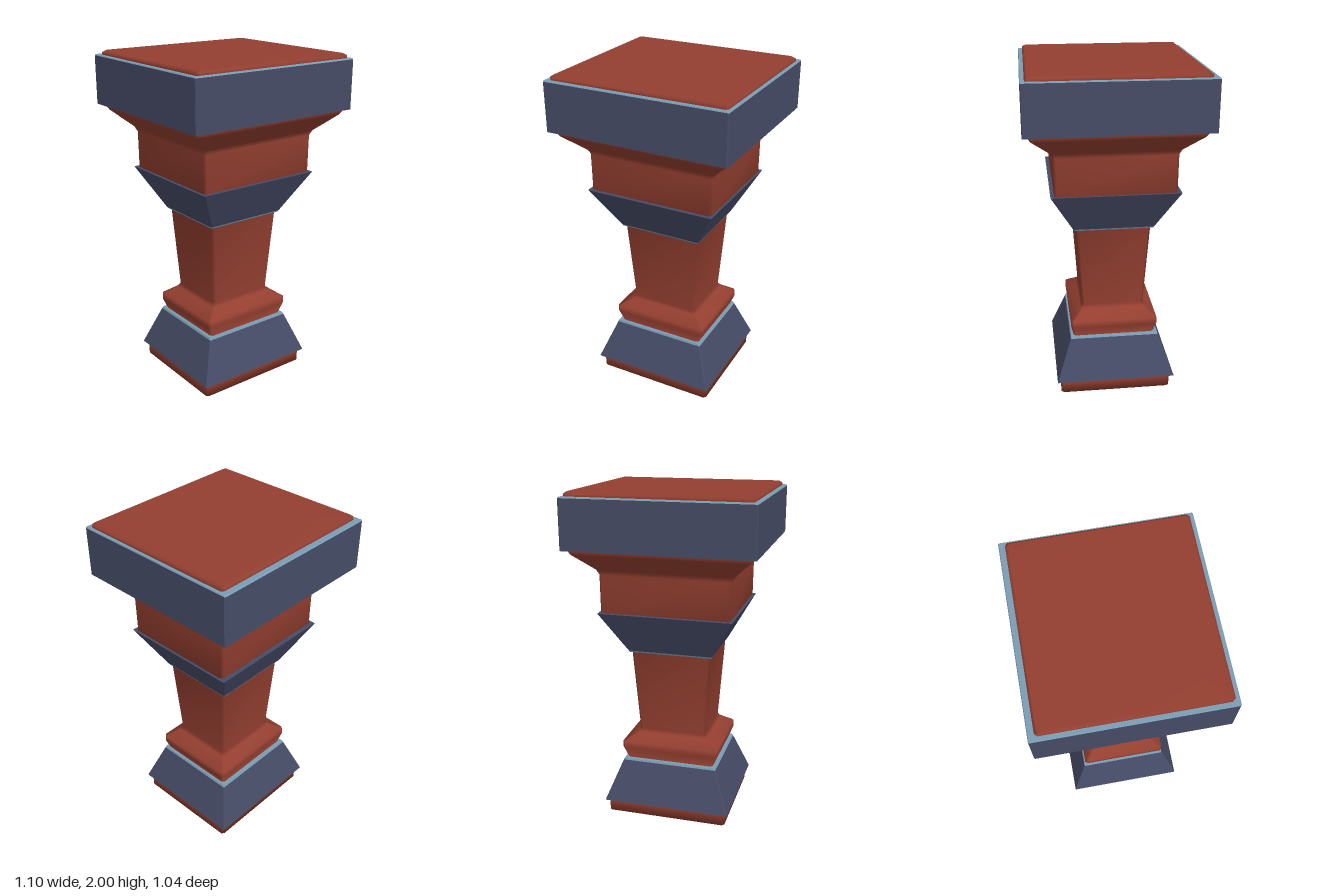
import * as THREE from 'three';

const red = new THREE.MeshStandardMaterial({ color: 0x943f30 });
red.name = 'brick red';
const slate = new THREE.MeshStandardMaterial({ color: 0x464c67 });
slate.name = 'slate blue';
const pale = new THREE.MeshStandardMaterial({ color: 0x7a9db4 });
pale.name = 'pale blue';

// Lofts chamfered rectangles [y, halfWidth, halfDepth] from bottom to top.
function loft(sections, chamfer, smooth, capBottom, capTop) {
  const pos = [], idx = [], n = 8;
  for (const [y, w, d] of sections) {
    const c = chamfer;
    const ring = [[w, c - d], [w, d - c], [w - c, d], [c - w, d],
      [-w, d - c], [-w, c - d], [c - w, -d], [w - c, -d]];
    for (const [x, z] of ring) pos.push(x, y, z);
  }
  for (let i = 0; i < sections.length - 1; i++) {
    for (let j = 0; j < n; j++) {
      const a = i * n + j, b = i * n + (j + 1) % n;
      idx.push(a, a + n, b, b, a + n, b + n);
    }
  }
  const cap = (ring, up) => {
    const centre = pos.length / 3;
    pos.push(0, sections[ring][0], 0);
    for (let j = 0; j < n; j++) {
      const a = ring * n + j, b = ring * n + (j + 1) % n;
      if (up) idx.push(centre, b, a);
      else idx.push(centre, a, b);
    }
  };
  if (capBottom) cap(0, false);
  if (capTop) cap(sections.length - 1, true);
  let geo = new THREE.BufferGeometry();
  geo.setAttribute('position', new THREE.Float32BufferAttribute(pos, 3));
  geo.setIndex(idx);
  if (!smooth) geo = geo.toNonIndexed();
  geo.computeVertexNormals();
  return geo;
}

export function createModel() {
  const group = new THREE.Group();
  const add = (name, geo, mat, x = 0, z = 0) => {
    const mesh = new THREE.Mesh(geo, mat);
    mesh.name = name;
    mesh.position.set(x, 0, z);
    group.add(mesh);
  };

  // Continuous pillar core, softly shaded
  add('pillarCore', loft([
    [0, 0.37, 0.337], [0.08, 0.372, 0.338], [0.34, 0.272, 0.248],
    [0.41, 0.3, 0.264], [0.45, 0.299, 0.263], [0.5, 0.223, 0.2], [0.52, 0.207, 0.189],
    [1.03, 0.242, 0.222], [1.3, 0.386, 0.35], [1.52, 0.388, 0.352], [1.55, 0.402, 0.366],
    [1.65, 0.51, 0.472], [1.68, 0.526, 0.488], [1.975, 0.528, 0.49],
    [1.988, 0.528, 0.49], [2, 0.512, 0.475],
  ], 0.014, true, true, true), red, 0.004, 0.005);

  // Flared foot band with a pale upper rim
  add('footBand', loft([[0.08, 0.39, 0.362], [0.33, 0.294, 0.272]],
    0.005, false, true, false), slate, 0.002, 0.003);
  add('footRim', loft([[0.33, 0.294, 0.272], [0.342, 0.288, 0.268]],
    0.005, false, false, true), pale, 0.002, 0.003);

  // Collar band with a pale lower rim
  add('collarRim', loft([[1.033, 0.254, 0.236], [1.043, 0.259, 0.241]],
    0.005, false, true, false), pale, 0.002, 0.003);
  add('collarBand', loft([[1.043, 0.259, 0.241], [1.295, 0.4, 0.373]],
    0.005, false, false, true), slate, 0.002, 0.003);

  // Square capital band with a pale top ledge
  add('capitalBand', loft([[1.68, 0.55, 0.52], [1.968, 0.55, 0.52]],
    0.006, false, true, false), slate);
  add('capitalLedge', loft([[1.968, 0.55, 0.52], [1.974, 0.546, 0.516]],
    0.006, false, false, true), pale);

  return group;
}
